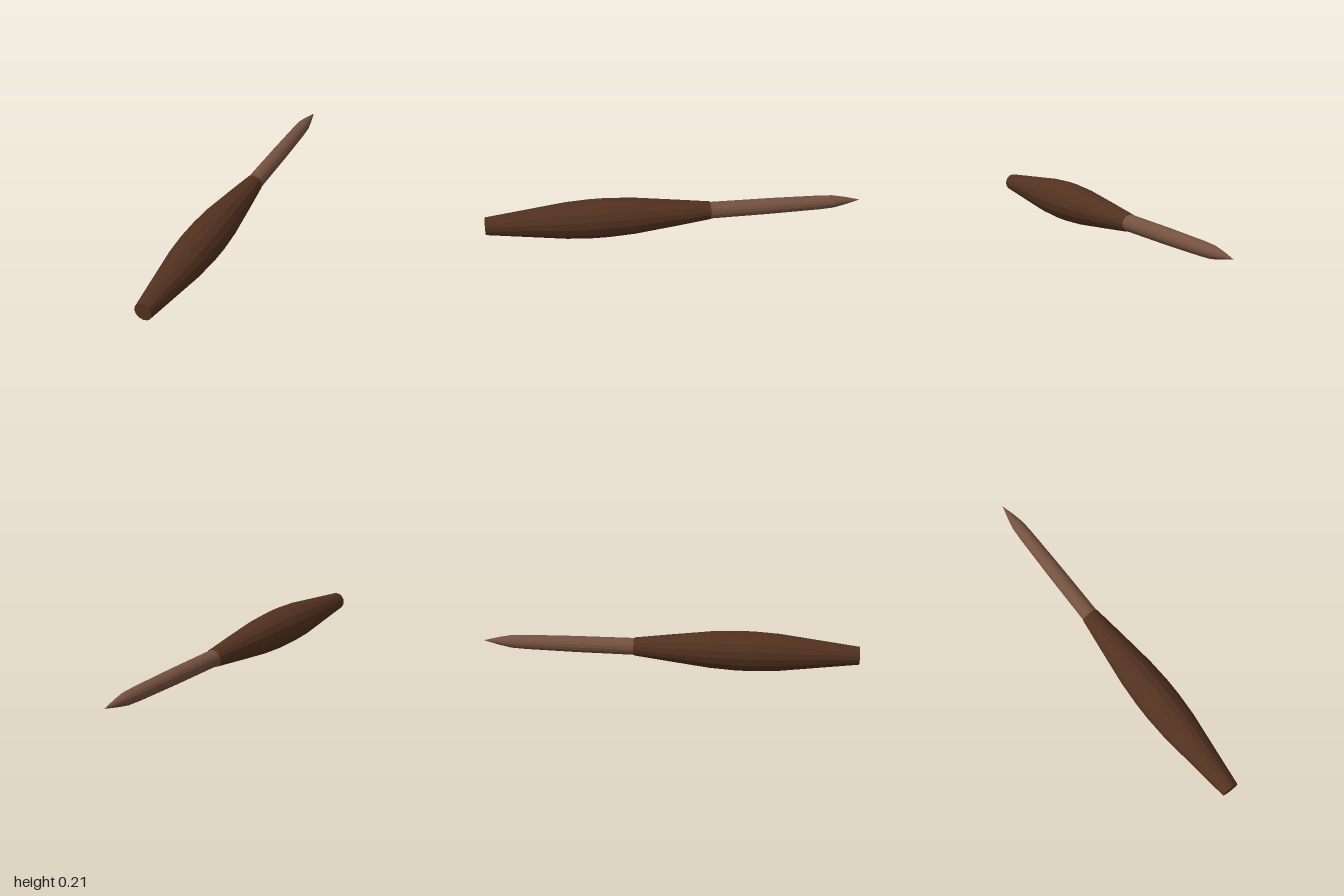
import * as THREE from 'three';

const SIDES = 16;
const AXIS_Y = 0.106;

// Faceted turned part lying along z; profile is [radius, z] from back to front
function turned(name, profile, material) {
  const points = profile.map(([r, z]) => new THREE.Vector2(r, z));
  const geometry = new THREE.LatheGeometry(points, SIDES).rotateX(Math.PI / 2).toNonIndexed();
  geometry.computeVertexNormals();
  const mesh = new THREE.Mesh(geometry, material);
  mesh.name = name;
  mesh.position.y = AXIS_Y;
  return mesh;
}

export function createModel() {
  const darkWood = new THREE.MeshStandardMaterial({ color: 0x52311f });
  darkWood.name = 'dark wood';
  const lightWood = new THREE.MeshStandardMaterial({ color: 0x75513f });
  lightWood.name = 'light wood';

  const model = new THREE.Group();
  model.name = 'pointedTool';

  // Swelling grip with flat ends
  model.add(turned('handle', [
    [0, -0.185], [0.048, -0.185], [0.071, 0], [0.097, 0.22], [0.105, 0.36],
    [0.105, 0.45], [0.098, 0.58], [0.047, 1], [0, 1],
  ], darkWood));

  // Slim shaft tapering to a sharp point
  model.add(turned('shaft', [
    [0, -1], [0.02, -0.92], [0.034, -0.85], [0.038, -0.77], [0.043, -0.5], [0.045, -0.18],
  ], lightWood));

  return model;
}
